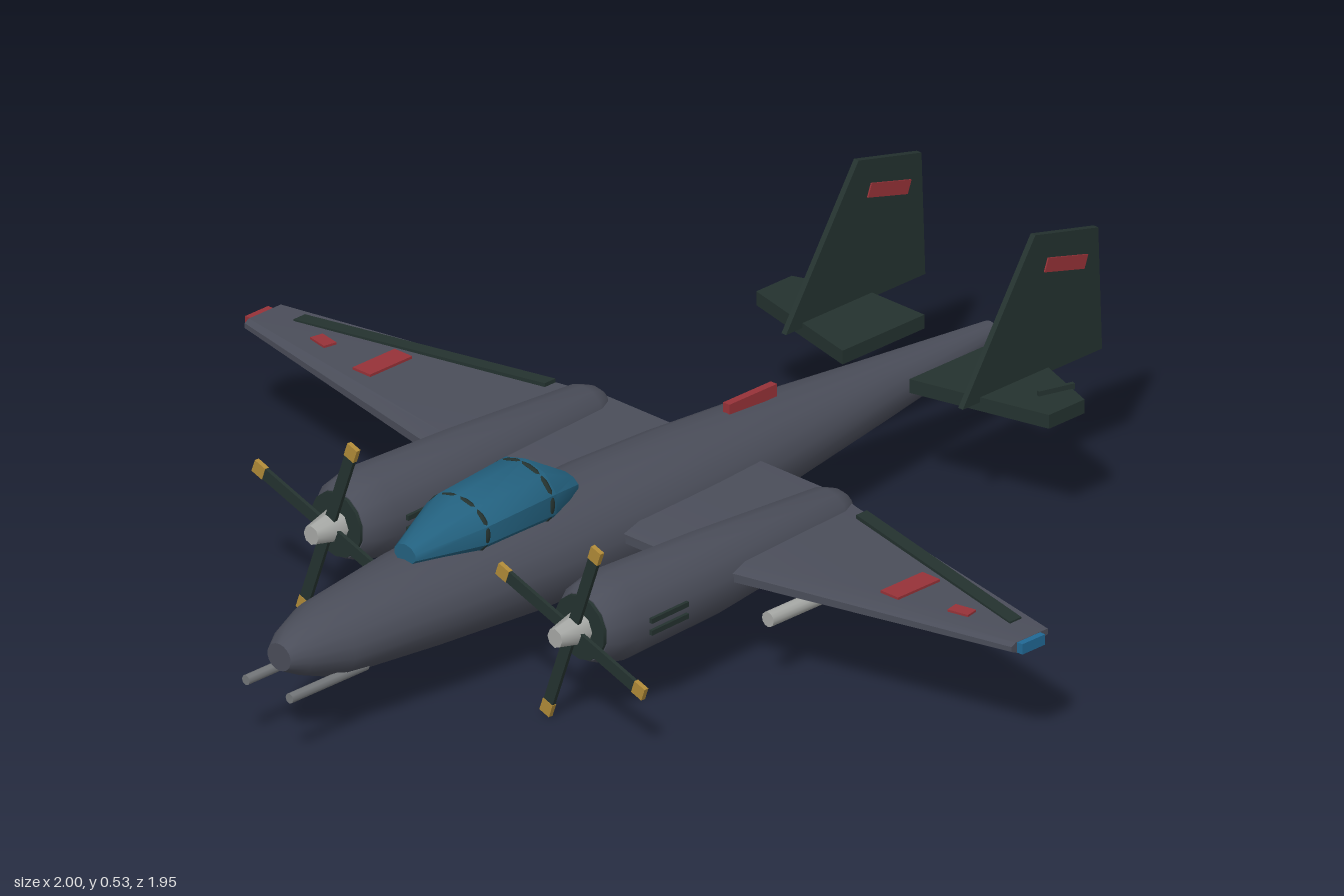
import * as THREE from 'three';
import { toCreasedNormals } from 'three/addons/utils/BufferGeometryUtils.js';

const paint = (name, color) => {
  const m = new THREE.MeshStandardMaterial({ color });
  m.name = name;
  return m;
};

// Closed skin over rings of equal point count, counter-clockwise seen from the first ring
function skin(rings, crease = 0.6) {
  const n = rings[0].length, pos = rings.flat(2), index = [];
  const centre = r => [0, 1, 2].map(k => r.reduce((s, p) => s + p[k], 0) / n);
  const last = rings.length - 1, front = rings.length * n, back = front + 1;
  pos.push(...centre(rings[0]), ...centre(rings[last]));
  for (let j = 0; j < n; j++) {
    const k = (j + 1) % n;
    for (let i = 0; i < last; i++) {
      const a = i * n + j, b = i * n + k, c = a + n, d = b + n;
      index.push(a, c, d, a, d, b);
    }
    index.push(front, j, k, back, last * n + k, last * n + j);
  }
  const g = new THREE.BufferGeometry();
  g.setAttribute('position', new THREE.Float32BufferAttribute(pos, 3));
  g.setIndex(index);
  return toCreasedNormals(g, crease);
}

// Elliptical sections [z, centreY, halfWidth, halfHeight], nose to tail
const loft = (sections, sides, crease) => skin(sections.map(([z, y, rx, ry]) =>
  Array.from({ length: sides }, (_, j) => {
    const a = ((j + 0.5) / sides) * Math.PI * 2;
    return [Math.cos(a) * rx, y + Math.sin(a) * ry, z];
  })), crease);

// Upright plate from [z, y] points, centred on x = 0
function uprightPlate(points, thick) {
  const g = new THREE.ExtrudeGeometry(new THREE.Shape(points.map(p => new THREE.Vector2(...p))),
    { depth: thick, bevelEnabled: false });
  return g.rotateY(-Math.PI / 2).translate(thick / 2, 0, 0);
}

// Level plate from [x, z] points, its underside at y = 0
function levelPlate(points, thick) {
  const g = new THREE.ExtrudeGeometry(new THREE.Shape(points.map(([x, z]) => new THREE.Vector2(x, -z))),
    { depth: thick, bevelEnabled: false });
  return g.rotateX(-Math.PI / 2);
}

export function createModel() {
  const model = new THREE.Group();
  model.name = 'twinEngineAircraft';
  const grey = paint('slateGrey', 0x4a4d59);
  const dark = paint('darkGreen', 0x24322f);
  const glass = paint('canopyBlue', 0x23617f);
  const red = paint('markingRed', 0x963238);
  const gold = paint('tipGold', 0xb08a38);
  const metal = paint('lightMetal', 0xa6a8a5);
  const steel = paint('gunSteel', 0x74777a);
  const blue = paint('lampBlue', 0x216894);

  const add = (name, geometry, material, x = 0, y = 0, z = 0, parent = model) => {
    const m = new THREE.Mesh(geometry, material);
    m.name = name;
    m.position.set(x, y, z);
    parent.add(m);
    return m;
  };
  const box = (w, h, d) => new THREE.BoxGeometry(w, h, d);
  const rod = (r1, r2, len, sides) => new THREE.CylinderGeometry(r1, r2, len, sides).rotateX(Math.PI / 2);

  // Fuselage
  add('fuselage', loft([
    [0.945, 0.2, 0.03, 0.027], [0.91, 0.2, 0.052, 0.045], [0.83, 0.197, 0.085, 0.071],
    [0.6, 0.199, 0.114, 0.088], [0.35, 0.198, 0.13, 0.102], [0.1, 0.198, 0.131, 0.108],
    [-0.1, 0.199, 0.121, 0.104], [-0.3, 0.204, 0.103, 0.089], [-0.6, 0.211, 0.064, 0.06],
    [-0.92, 0.221, 0.026, 0.026],
  ], 18), grey);
  add('spineMarking', box(0.016, 0.025, 0.125), red, 0, 0.303, -0.29);

  // Canopy with thin frame hoops
  add('canopy', loft([
    [0.615, 0.297, 0.028, 0.02], [0.48, 0.312, 0.08, 0.057], [0.3, 0.318, 0.085, 0.066],
    [0.195, 0.3, 0.036, 0.022],
  ], 10, 0.75), glass);
  for (const [z, y, rx, ry] of [[0.475, 0.312, 0.078, 0.055], [0.31, 0.318, 0.082, 0.063]]) {
    add('canopyFrame', new THREE.TorusGeometry(1, 0.05, 6, 28).scale(rx - 0.002, ry - 0.001, 0.12), dark, 0, y, z);
  }

  // Wing from tip to tip, stations [x, frontZ, rearZ, bottomY, topY]
  const half = [[0.985, 0.03, -0.065, 0.221, 0.243], [0.37, 0.155, -0.195, 0.2, 0.238], [0.3, 0.168, -0.215, 0.197, 0.237]];
  const stations = [...half, ...half.map(([x, ...r]) => [-x, ...r]).reverse()];
  add('wing', skin(stations.map(([x, f, r, b, t]) => {
    const c = r - f, h = t - b;
    return [[x, b + h * 0.3, f], [x, b, f + c * 0.15], [x, b, f + c * 0.6], [x, t - h * 0.5, r],
      [x, t, r], [x, t, f + c * 0.12], [x, b + h * 0.75, f]];
  }), 0.4), grey);

  for (const s of [1, -1]) {
    const side = s > 0 ? 'left' : 'right';
    const flip = pts => pts.map(([x, z]) => [x * s, z]);

    // Wing details
    add(side + 'Aileron', levelPlate(flip([[0.4, -0.188], [0.92, -0.062], [0.92, -0.032], [0.4, -0.16]]), 0.009), dark, 0, 0.237, 0);
    add(side + 'WingBand', box(0.045, 0.009, 0.11), red, 0.678 * s, 0.241, -0.018);
    add(side + 'WingMark', box(0.045, 0.008, 0.028), red, 0.82 * s, 0.242, -0.008).rotation.y = 0.2 * s;
    add(side + 'TipLamp', box(0.022, 0.021, 0.06), s > 0 ? blue : red, 0.987 * s, 0.232, -0.015);
    add(side + 'WingPod', rod(0.015, 0.015, 0.28, 12), metal, 0.455 * s, 0.15, -0.012);
    add(side + 'PodPylon', box(0.01, 0.05, 0.06), grey, 0.455 * s, 0.183, -0.012);
    add(side + 'NoseGun', rod(0.01, 0.01, 0.2, 8), steel, 0.056 * s, 0.145, 0.875);

    // Engine nacelle
    const engine = new THREE.Group();
    engine.name = side + 'Engine';
    engine.position.set(0.313 * s, 0.205, 0);
    model.add(engine);
    add('nacelle', loft([
      [0.47, 0, 0.066, 0.066], [0.45, 0, 0.078, 0.078], [0.4, 0, 0.088, 0.088], [0.15, 0, 0.079, 0.08],
      [-0.17, 0.01, 0.058, 0.052], [-0.2, 0.012, 0.043, 0.04], [-0.215, 0.014, 0.027, 0.026],
    ], 14), grey, 0, 0, 0, engine);
    add('engineFace', rod(0.064, 0.064, 0.012, 14), dark, 0, 0, 0.471, engine);
    for (const e of [1, -1]) for (const y of [-0.014, 0.01]) {
      add('exhaustSlot', box(0.012, 0.01, 0.1), dark, 0.084 * e, y, 0.33, engine).rotation.y = 0.035 * e;
    }

    // Propeller
    const propeller = new THREE.Group();
    propeller.name = side + 'Propeller';
    propeller.position.z = 0.497;
    engine.add(propeller);
    add('spinner', rod(0.019, 0.033, 0.065, 8), metal, 0, 0, 0.012, propeller);
    for (let i = 0; i < 4; i++) {
      const blade = new THREE.Group();
      blade.name = 'blade';
      blade.rotation.z = -0.34 + i * Math.PI / 2;
      propeller.add(blade);
      add('bladeArm', box(0.024, 0.16, 0.008), dark, 0, 0.092, 0, blade);
      add('bladeTip', box(0.026, 0.028, 0.01), gold, 0, 0.185, 0, blade);
    }

    // Tailplane and fin
    add(side + 'Tailplane', levelPlate(flip([[0.086, -0.62], [0.376, -0.69], [0.376, -0.783], [0.23, -0.835], [0.086, -0.835]]), 0.028), dark, 0, 0.232, 0);
    add(side + 'TrimTab', box(0.008, 0.012, 0.075), dark, 0.315 * s, 0.264, -0.77).rotation.y = -0.3 * s;
    add(side + 'Fin', uprightPlate([[-0.61, 0.25], [-0.8, 0.54], [-0.965, 0.5], [-0.975, 0.25]], 0.012), dark, 0.227 * s);
    add(side + 'FinMark', uprightPlate([[-0.822, 0.458], [-0.832, 0.484], [-0.936, 0.456], [-0.926, 0.43]], 0.018), red, 0.227 * s);
  }
  return model;
}
